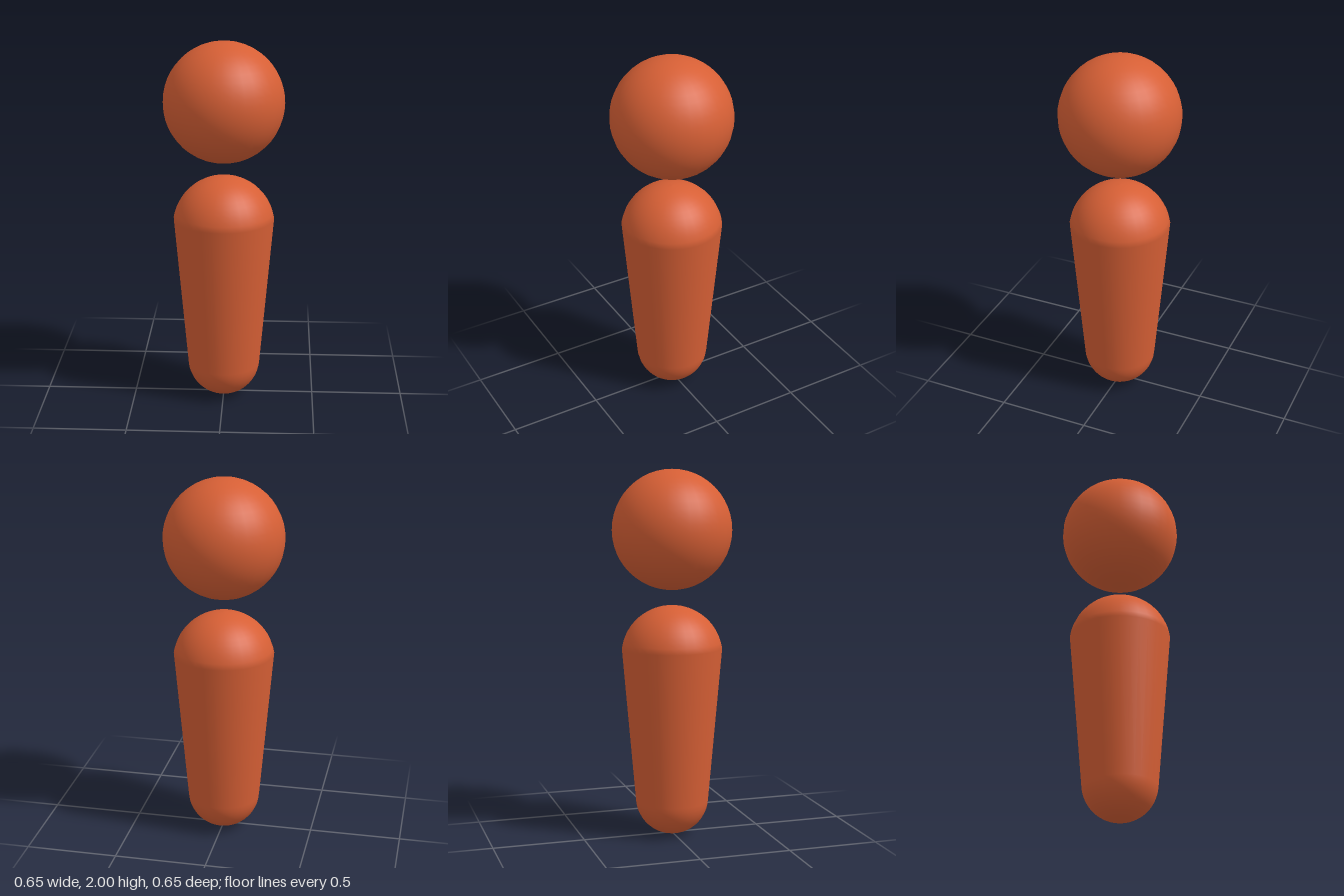
import * as THREE from 'three';

// points along a circular arc centred on the axis, angles measured up from horizontal
function arc(radius, centreY, from, to, steps) {
  const points = [];
  for (let i = 0; i <= steps; i++) {
    const a = from + (to - from) * i / steps;
    points.push(new THREE.Vector2(Math.max(0, radius * Math.cos(a)), centreY + radius * Math.sin(a)));
  }
  return points;
}

export function createModel() {
  const group = new THREE.Group();
  const material = new THREE.MeshStandardMaterial({ color: 0xd65f35 });
  const quarter = Math.PI / 2;

  // floating ball head
  const head = new THREE.Mesh(new THREE.SphereGeometry(0.323, 32, 24), material);
  head.name = 'head';
  head.position.y = 1.677;
  group.add(head);

  // tapered body: rounded foot, straight flank, domed shoulders
  const profile = [
    ...arc(0.2, 0.2, -quarter, -0.06, 12),
    ...arc(0.277, 0.993, 0.165, quarter, 12),
  ];
  const body = new THREE.Mesh(new THREE.LatheGeometry(profile, 32), material);
  body.name = 'body';
  group.add(body);

  return group;
}
